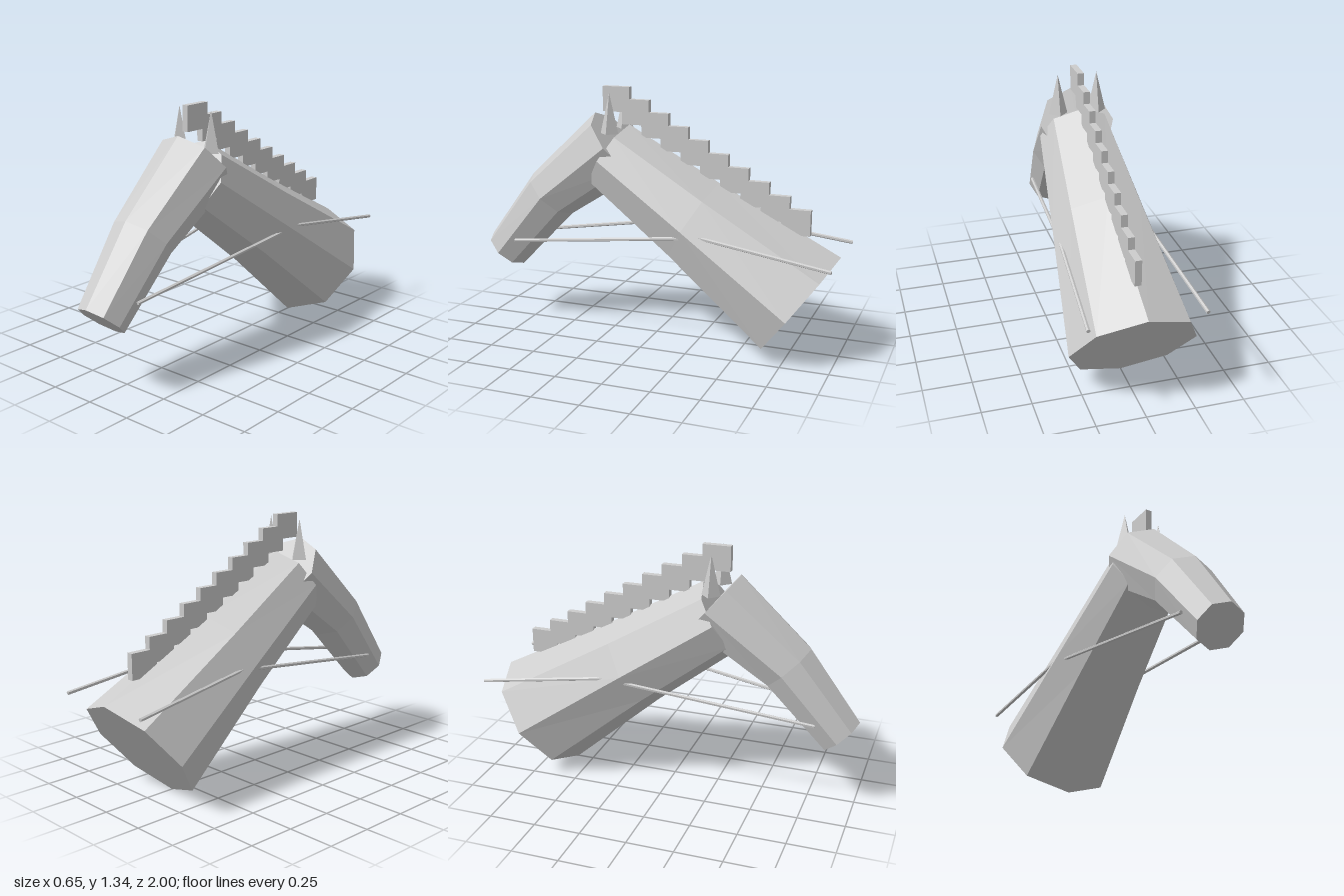
import * as THREE from 'three';

const grey = new THREE.MeshStandardMaterial({ color: 0xcccccc, flatShading: true });
grey.name = 'plain grey';

function addPart(parent, geometry, name) {
  const flat = geometry.index ? geometry.toNonIndexed() : geometry;
  flat.computeVertexNormals();
  const mesh = new THREE.Mesh(flat, grey);
  mesh.name = name;
  parent.add(mesh);
  return mesh;
}

// Closed octagonal loft, rings ordered back to front.
// Each ring: centre (y, z), half-width, and the (dy, dz) offset to its topmost corner.
function octagonLoft(rings) {
  const n = 8;
  const pos = [];
  const index = [];
  for (const { y, z, w, dy, dz } of rings) {
    for (let i = 0; i < n; i++) {
      const a = (i / n) * Math.PI * 2;
      pos.push(Math.sin(a) * w, y + Math.cos(a) * dy, z + Math.cos(a) * dz);
    }
  }
  for (let r = 0; r < rings.length - 1; r++) {
    for (let i = 0; i < n; i++) {
      const a = r * n + i;
      const b = r * n + ((i + 1) % n);
      index.push(a, a + n, b, b, a + n, b + n);
    }
  }
  const last = (rings.length - 1) * n;
  for (let i = 1; i < n - 1; i++) {
    index.push(0, i, i + 1);
    index.push(last, last + i + 1, last + i);
  }
  const g = new THREE.BufferGeometry();
  g.setAttribute('position', new THREE.Float32BufferAttribute(pos, 3));
  g.setIndex(index);
  return g;
}

// Thin rod between two points
function rod(parent, from, to, name) {
  const dir = to.clone().sub(from);
  const mesh = addPart(parent, new THREE.CylinderGeometry(0.01, 0.01, dir.length(), 6), name);
  mesh.position.copy(from).add(to).multiplyScalar(0.5);
  mesh.quaternion.setFromUnitVectors(new THREE.Vector3(0, 1, 0), dir.normalize());
}

export function createModel() {
  const model = new THREE.Group();
  model.name = 'horseHead';

  // Neck, from the wide base at the back up to the poll
  addPart(model, octagonLoft([
    { y: 0.265, z: -0.79, w: 0.325, dy: 0.265, dz: -0.2 },
    { y: 0.65, z: -0.22, w: 0.255, dy: 0.212, dz: -0.128 },
    { y: 0.97, z: 0.26, w: 0.198, dy: 0.17, dz: -0.105 },
  ]), 'neck');

  // Head, tapering down to the muzzle
  addPart(model, octagonLoft([
    { y: 1.04, z: 0.222, w: 0.2, dy: 0.153, dz: 0.131 },
    { y: 0.732, z: 0.615, w: 0.16, dy: 0.108, dz: 0.113 },
    { y: 0.387, z: 0.907, w: 0.125, dy: 0.083, dz: 0.093 },
  ]), 'head');

  // Mane of overlapping stepped blocks
  const mane = new THREE.Group();
  mane.name = 'mane';
  for (let i = 0; i < 10; i++) {
    const block = addPart(mane, new THREE.BoxGeometry(0.034, 0.133, 0.15), 'maneBlock');
    block.position.set(0, 1.272 - i * 0.0643, 0.225 - i * 0.109);
  }
  model.add(mane);

  // Ears and reins on both sides
  for (const [side, s] of [['left', 1], ['right', -1]]) {
    const ear = addPart(model, new THREE.ConeGeometry(0.05, 0.213, 4), side + 'Ear');
    ear.position.set(s * 0.105, 1.21, 0.225);

    const bit = new THREE.Vector3(s * 0.132, 0.475, 0.79);
    const bend = new THREE.Vector3(s * 0.24, 0.625, -0.32);
    const end = new THREE.Vector3(s * 0.287, 0.535, -0.998);
    rod(model, bit, bend, side + 'FrontRein');
    rod(model, bend, end, side + 'BackRein');
  }
  return model;
}
